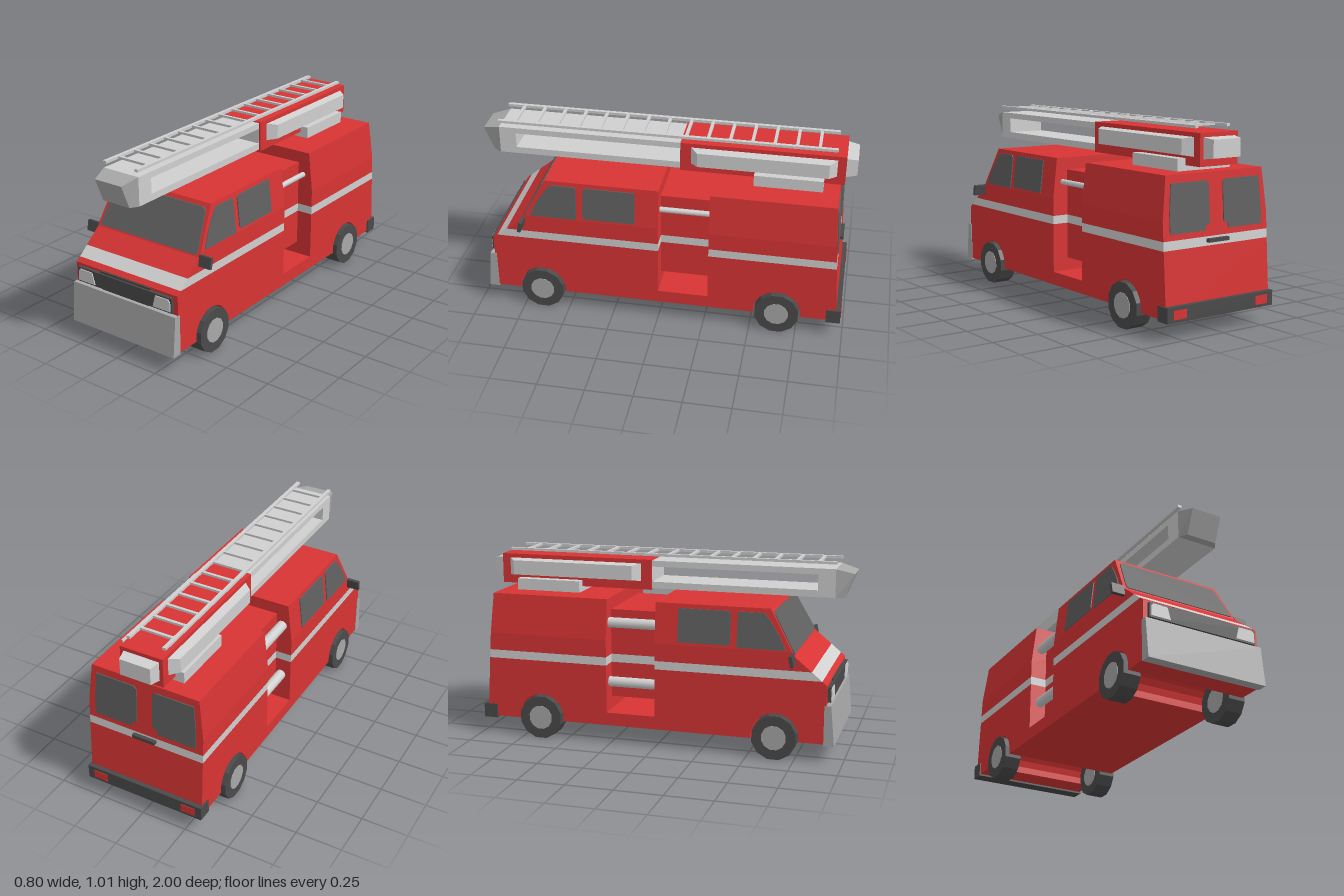
import * as THREE from 'three';

const material = (name, color) => {
  const m = new THREE.MeshStandardMaterial({ color });
  m.name = name;
  return m;
};

export function createModel() {
  const model = new THREE.Group();
  model.name = 'fireTruck';
  const red = material('red paint', 0xd83434);
  const light = material('light grey', 0xd0d0d0);
  const grey = material('mid grey', 0xa8a8a8);
  const dark = material('dark grey', 0x4a4a4a);
  const glass = material('window grey', 0x606060);

  const add = (name, geo, mat, parent = model) => {
    const mesh = new THREE.Mesh(geo, mat);
    mesh.name = name;
    parent.add(mesh);
    return mesh;
  };
  // Move every vertex by a rule, then rebuild flat normals
  const warp = (geo, rule) => {
    const g = geo.index ? geo.toNonIndexed() : geo;
    const p = g.attributes.position, v = new THREE.Vector3();
    for (let i = 0; i < p.count; i++) {
      rule(v.fromBufferAttribute(p, i));
      p.setXYZ(i, v.x, v.y, v.z);
    }
    g.computeVertexNormals();
    return g;
  };
  const box = (x0, x1, y0, y1, z0, z1) =>
    new THREE.BoxGeometry(x1 - x0, y1 - y0, z1 - z0).translate((x0 + x1) / 2, (y0 + y1) / 2, (z0 + z1) / 2);
  const shapeOf = pts => new THREE.Shape(pts.map(p => new THREE.Vector2(...p)));
  // Side profile [z, y] extruded across x
  const slab = (pts, x0, x1, hole) => {
    const s = shapeOf(pts);
    if (hole) s.holes.push(new THREE.Path(hole.map(p => new THREE.Vector2(...p))));
    return new THREE.ExtrudeGeometry(s, { depth: x1 - x0, bevelEnabled: false })
      .rotateY(-Math.PI / 2).translate(x1, 0, 0);
  };
  // Front profile [x, y] as a thin plate along z
  const plate = (pts, z0, depth = 0.007) =>
    new THREE.ExtrudeGeometry(shapeOf(pts), { depth, bevelEnabled: false }).translate(0, 0, z0);

  // Body outline rules: sloping nose, leaning rear, upper sides leaning in
  const noseZ = y => y <= 0.41 ? 0.91 : y <= 0.55 ? 0.91 - (y - 0.41) * 1.2143 : 0.74 - (y - 0.55) * 0.5532;
  const rearZ = y => -0.965 + (y - 0.1) * 0.0657;
  const leanIn = v => { if (v.y > 0.57) v.x -= Math.sign(v.x) * (v.y - 0.57) * 0.116; };
  const W = 0.33, WHEEL_Z = 0.645, WHEEL_Y = 0.117;
  const arch = z => Array.from({ length: 13 }, (_, i) => {
    const a = THREE.MathUtils.degToRad(187.8 - 195.6 * i / 12);
    return [z + 0.127 * Math.cos(a), WHEEL_Y + 0.127 * Math.sin(a)];
  });

  // Body in horizontal layers, one of them the light stripe
  const levels = [0.1, 0.43, 0.475, 0.57, 0.785];
  for (let i = 0; i < 4; i++) {
    const a = levels[i], b = levels[i + 1];
    const mat = i === 1 ? light : red, part = i === 1 ? 'Stripe' : 'Body';
    const breaks = [0.41, 0.55].filter(y => y > a && y < b).map(y => [noseZ(y), y]);
    const cab = [[0, a], ...(i ? [] : arch(WHEEL_Z)), [noseZ(a), a], ...breaks, [noseZ(b), b], [0, b]];
    const rear = [[rearZ(a), a], ...(i ? [] : arch(-WHEEL_Z)), [-0.27, a], [-0.27, b], [rearZ(b), b]];
    add('cab' + part, warp(slab(cab, -W, W), leanIn), mat);
    add('rear' + part, warp(slab(rear, -W, W), leanIn), mat);
  }

  // Recessed middle with an open gap above its floor
  add('middleFloor', box(-W, W, 0.1, 0.17, -0.27, 0), red);
  for (const [a, b, mat] of [[0.24, 0.43, red], [0.43, 0.475, light], [0.475, 0.72, red]])
    add('middleWall', box(-0.24, 0.24, a, b, -0.27, 0), mat);
  for (const [x, y, r] of [[-0.272, 0.655, 0.028], [-0.272, 0.33, 0.028], [0.27, 0.655, 0.015]])
    add('hosePipe', new THREE.CylinderGeometry(r, r, 0.27, 12).rotateX(Math.PI / 2).translate(x, y, -0.135), light);

  // Windows
  const sideWindows = [
    [[0.44, 0.577], [0.695, 0.577], [0.655, 0.66], [0.595, 0.745], [0.575, 0.762], [0.45, 0.762], [0.44, 0.75]],
    [[0.125, 0.585], [0.395, 0.585], [0.405, 0.6], [0.405, 0.75], [0.39, 0.762], [0.125, 0.762]],
  ];
  for (const s of [-1, 1]) {
    for (const pts of sideWindows)
      add('sideWindow', warp(slab(pts, s > 0 ? 0.329 : -0.335, s > 0 ? 0.335 : -0.329), leanIn), glass);
    const pane = [[0.045, 0.54], [0.07, 0.53], [0.075, 0.505], [0.29, 0.505], [0.29, 0.6], [0.278, 0.745], [0.06, 0.745], [0.045, 0.73]];
    add('rearWindow', warp(plate(pane.map(([x, y]) => [s * x, y]), -0.005), v => { v.z += rearZ(v.y); }), glass);
  }
  const screen = [[-0.31, 0.56], [0.31, 0.56], [0.312, 0.585], [0.288, 0.752], [0.272, 0.765], [-0.272, 0.765], [-0.288, 0.752], [-0.312, 0.585]];
  add('windscreen', warp(plate(screen, -0.001), v => { v.z += noseZ(v.y); }), glass);

  // Nose: grille, lamps and sloping bumper
  add('grille', box(-0.305, 0.305, 0.317, 0.397, 0.9, 0.928), dark);
  add('grilleTop', box(-0.165, 0.165, 0.395, 0.408, 0.9, 0.918), dark);
  add('grilleBase', box(-0.15, 0.15, 0.3, 0.32, 0.9, 0.916), dark);
  add('frontBumper', slab([[0.9, 0.092], [0.955, 0.092], [0.935, 0.306], [0.9, 0.306]], -0.333, 0.333), grey);
  for (const s of [-1, 1]) {
    const lamp = [[0.298, 0.325], [0.298, 0.375], [0.285, 0.39], [0.207, 0.388], [0.19, 0.325]];
    add('headlight', plate(lamp.map(([x, y]) => [s * x, y]), 0.926), light);
    add('mirror', new THREE.BoxGeometry(0.072, 0.058, 0.018).rotateX(-0.2).translate(s * 0.365, 0.536, 0.735), dark);
    add('tailLight', box(s * 0.26 - 0.04, s * 0.26 + 0.04, 0.105, 0.15, -0.988, -0.98), red);
  }

  // Rear bumper and door handle
  add('rearBumper', box(-0.337, 0.337, 0.09, 0.167, -0.985, -0.908), dark);
  add('rearHandle', box(-0.065, 0.065, 0.447, 0.465, -0.962, -0.93), dark);

  // Wheels: twelve-sided tyres with flat hubs
  for (const s of [-1, 1]) for (const z of [-WHEEL_Z, WHEEL_Z]) {
    const wheel = new THREE.Group();
    wheel.name = 'wheel';
    wheel.position.set(s * 0.3025, WHEEL_Y, z);
    const disc = (r, len) => warp(new THREE.CylinderGeometry(r, r, len, 12).rotateY(Math.PI / 12).rotateZ(Math.PI / 2), () => {});
    add('tyre', disc(0.12, 0.095), dark, wheel);
    add('hub', disc(0.066, 0.1), grey, wheel);
    model.add(wheel);
  }

  // Ladder assembly on the roof
  const lift = new THREE.Group();
  lift.name = 'ladderAssembly';
  lift.position.x = -0.005;
  model.add(lift);
  add('turretBase', box(-0.167, 0.167, 0.78, 0.847, -0.835, -0.475), light, lift);
  add('boomHousing', box(-0.119, 0.119, 0.813, 0.975, -0.942, -0.08), red, lift);

  // Boom with a slot through its sides and a narrowing tip
  add('boom', slab([[-0.1, 0.82], [0.906, 0.82], [0.906, 0.97], [-0.1, 0.97]], -0.109, 0.109,
    [[-0.078, 0.856], [-0.078, 0.938], [0.815, 0.938], [0.815, 0.856]]), light, lift);
  add('boomTip', warp(box(-0.109, 0.109, 0.82, 0.97, 0.906, 1), v => {
    if (v.z < 0.95) return;
    v.x *= 0.76;
    if (v.y > 0.9) v.y = 0.945; else v.z = 0.948;
  }), grey, lift);

  // Side lockers and rear box, all narrowing outward
  for (const s of [-1, 1])
    add('sideLocker', warp(box(s > 0 ? 0.11 : -0.165, s > 0 ? 0.165 : -0.11, 0.857, 0.955, -0.905, -0.13), v => {
      if (Math.abs(v.x) < 0.14) return;
      v.y = 0.906 + (v.y - 0.906) * 0.8;
      v.z = -0.5175 + (v.z + 0.5175) * 0.88;
    }), light, lift);
  add('rearBox', warp(box(-0.1, 0.1, 0.848, 0.955, -1, -0.935), v => {
    if (v.z > -0.97) return;
    v.x *= 0.85;
    v.y = 0.9 + (v.y - 0.9) * 0.84;
  }), light, lift);

  // Ladder
  for (const s of [-1, 1])
    add('ladderRail', box(s * 0.099 - 0.01, s * 0.099 + 0.01, 0.994, 1.008, -0.895, 0.91), light, lift);
  for (let i = 0; i < 15; i++) {
    const z = -0.8 + i * 0.1155;
    add('ladderRung', box(-0.095, 0.095, 0.995, 1.007, z - 0.008, z + 0.008), light, lift);
  }
  return model;
}
